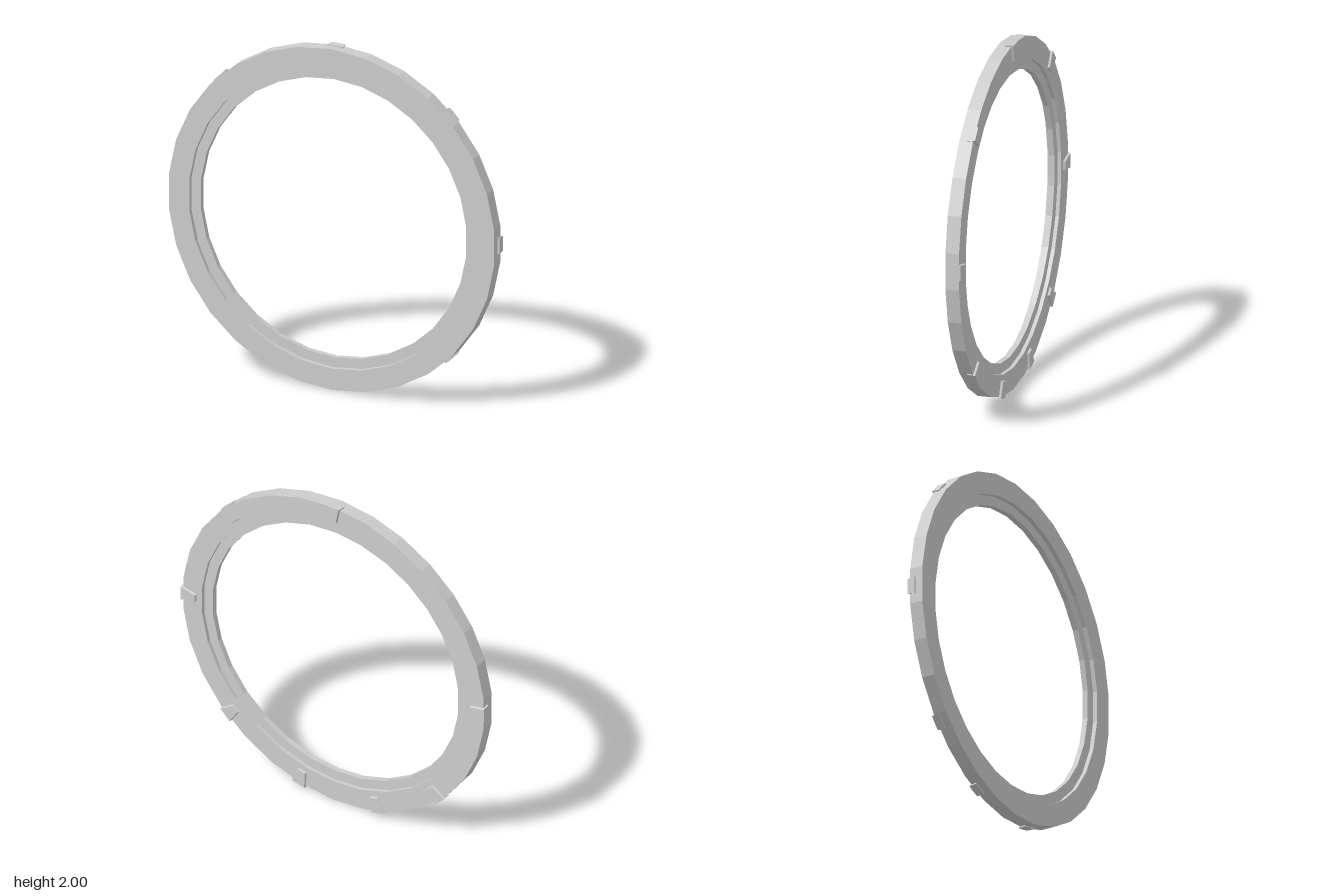
import * as THREE from 'three';

const grey = new THREE.MeshStandardMaterial({ color: 0xcccccc, flatShading: true });
grey.name = 'stone grey';

// Block that narrows towards the ring centre (-y) and towards the back (-z)
function taperedBlock(r0, r1, w0, w1, zBack, zFront, chamfer) {
  const g = new THREE.BoxGeometry(1, 1, 1);
  const p = g.attributes.position;
  for (let i = 0; i < p.count; i++) {
    const outer = p.getY(i) > 0, back = p.getZ(i) < 0;
    const half = (outer ? w1 : w0) / 2 - (back ? chamfer : 0);
    const inset = back && !outer ? chamfer : 0;
    p.setXYZ(i, Math.sign(p.getX(i)) * half, (outer ? r1 : r0) + inset, back ? zBack : zFront);
  }
  g.computeVertexNormals();
  return g;
}

export function createModel() {
  const model = new THREE.Group();
  model.name = 'ring';
  const add = (geometry, name, parent) => {
    const mesh = new THREE.Mesh(geometry, grey);
    mesh.name = name;
    parent.add(mesh);
  };

  // Thirty-sided ring with a thinner inner lip
  const profile = [
    [0.995, -0.033], [0.995, 0.045], [0.87, 0.045], [0.87, 0.02],
    [0.812, 0.02], [0.812, -0.012], [0.87, -0.012], [0.87, -0.033], [0.995, -0.033],
  ].map(([r, z]) => new THREE.Vector2(r, z));
  const body = new THREE.LatheGeometry(profile, 30);
  body.rotateX(Math.PI / 2);
  body.translate(0, 1, 0);
  add(body, 'ringBody', model);

  // Nine clamps gripping the back and the outer rim
  const plate = taperedBlock(0.9, 0.998, 0.056, 0.094, -0.045, -0.028, 0.006);
  const hook = taperedBlock(0.975, 1.0, 0.09, 0.1, -0.045, 0, 0.008);
  for (const angle of [0, 45, 90, 135, 167, 197.5, 225, 270, 315]) {
    const clamp = new THREE.Group();
    clamp.name = 'clamp';
    clamp.position.y = 1;
    clamp.rotation.z = -THREE.MathUtils.degToRad(angle);
    add(plate, 'clampPlate', clamp);
    add(hook, 'clampHook', clamp);
    model.add(clamp);
  }
  return model;
}
